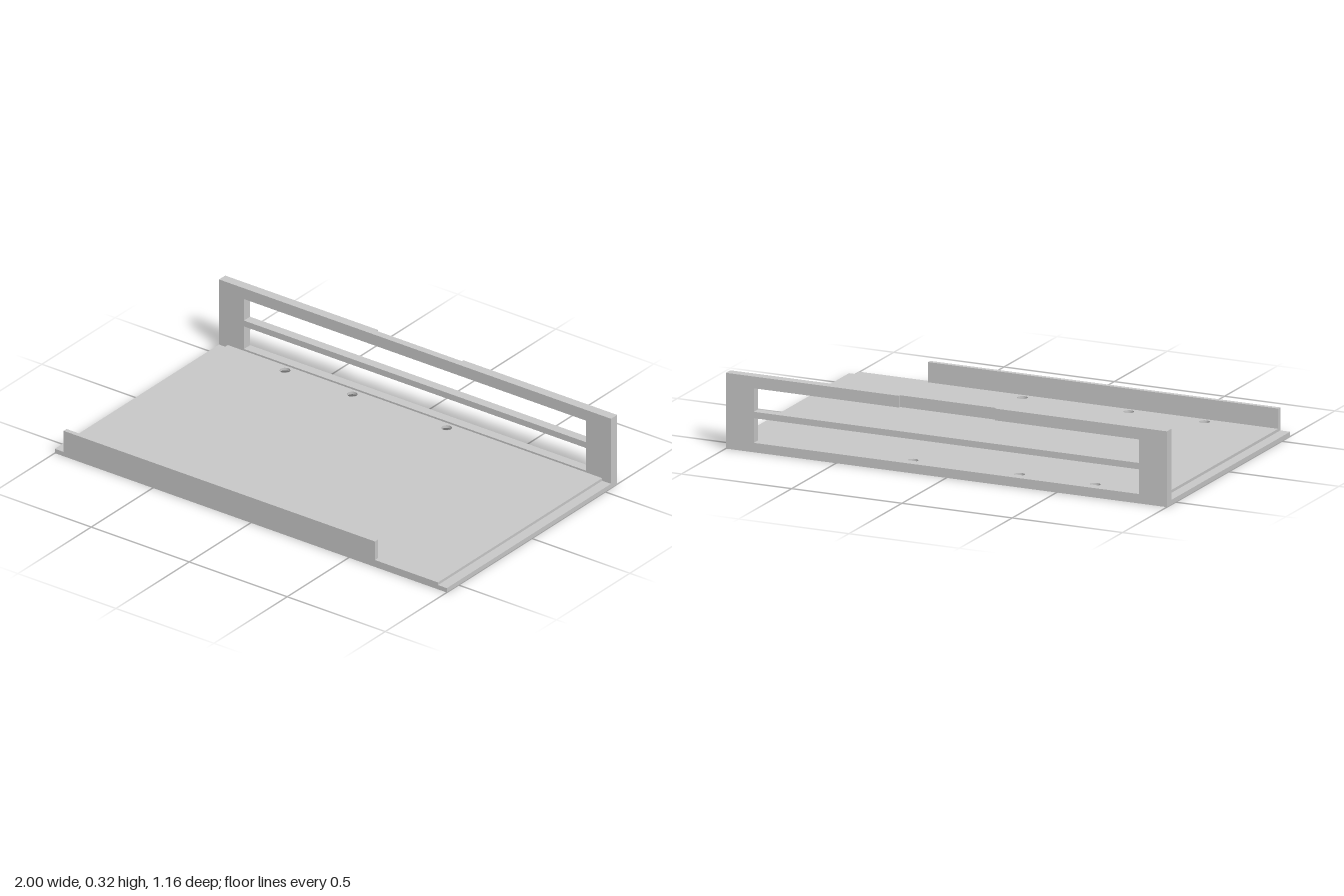
import * as THREE from 'three';

const HOLE_X = [-0.638, -0.295, 0.187];
const HOLE_Z = [-0.506, 0.524];
const BORE = 0.022, SINK = 0.041, LEDGE = 0.02, FLOOR = 0.032;

export function createModel() {
  const model = new THREE.Group();
  const gray = new THREE.MeshStandardMaterial({ color: 0xc8c8c8 });
  gray.name = 'light gray';

  const add = (name, geometry) => {
    const mesh = new THREE.Mesh(geometry, gray);
    mesh.name = name;
    model.add(mesh);
    return mesh;
  };
  const outline = (pts) => new THREE.Shape(pts.map(([x, y]) => new THREE.Vector2(x, y)));
  const rect = (x0, y0, x1, y1) => outline([[x0, y0], [x1, y0], [x1, y1], [x0, y1]]);
  const extrude = (shape, depth) =>
    new THREE.ExtrudeGeometry(shape, { depth, bevelEnabled: false, curveSegments: 16 });

  // Flat layer with the six screw holes, lying between two heights
  const layer = (name, halfWidth, y0, y1, radius) => {
    const shape = rect(-halfWidth, -0.58, halfWidth, 0.54);
    for (const x of HOLE_X) for (const z of HOLE_Z) {
      shape.holes.push(new THREE.Path().absarc(x, -z, radius, 0, Math.PI * 2));
    }
    const geometry = extrude(shape, y1 - y0);
    geometry.rotateX(-Math.PI / 2).translate(0, y0, 0);
    add(name, geometry);
  };
  layer('basePlate', 1, 0, LEDGE, SINK);
  layer('raisedFloor', 0.955, LEDGE, FLOOR, BORE);

  // Countersinks, open to the underside (profile runs down so faces point inward)
  const sink = new THREE.LatheGeometry(
    [new THREE.Vector2(BORE, LEDGE), new THREE.Vector2(SINK, 0)], 32);
  for (const x of HOLE_X) for (const z of HOLE_Z) {
    add('countersink', sink).position.set(x, 0, z);
  }

  // Front lip, stopping short of the left end
  add('frontLip', extrude(rect(-0.955, FLOOR, 0.633, 0.118), 0.02).translate(0, 0, 0.56));

  // Back panel with two long slots
  const lowSlot = () => rect(-0.873, 0.04, 0.873, 0.145);
  const inner = rect(-1, 0, 1, 0.322);
  inner.holes.push(lowSlot(), rect(-0.873, 0.172, 0.873, 0.272));
  add('backPanel', extrude(inner, 0.032).translate(0, 0, -0.572));

  // Rear skin of the panel, leaving a shallow recess in the middle of the top rail
  const skin = outline([
    [-1, 0], [1, 0], [1, 0.322], [0.215, 0.322], [0.215, 0.272], [0.873, 0.272],
    [0.873, 0.172], [-0.873, 0.172], [-0.873, 0.272], [-0.22, 0.272], [-0.22, 0.322], [-1, 0.322],
  ]);
  skin.holes.push(lowSlot());
  add('backPanelSkin', extrude(skin, 0.01).translate(0, 0, -0.582));

  return model;
}
